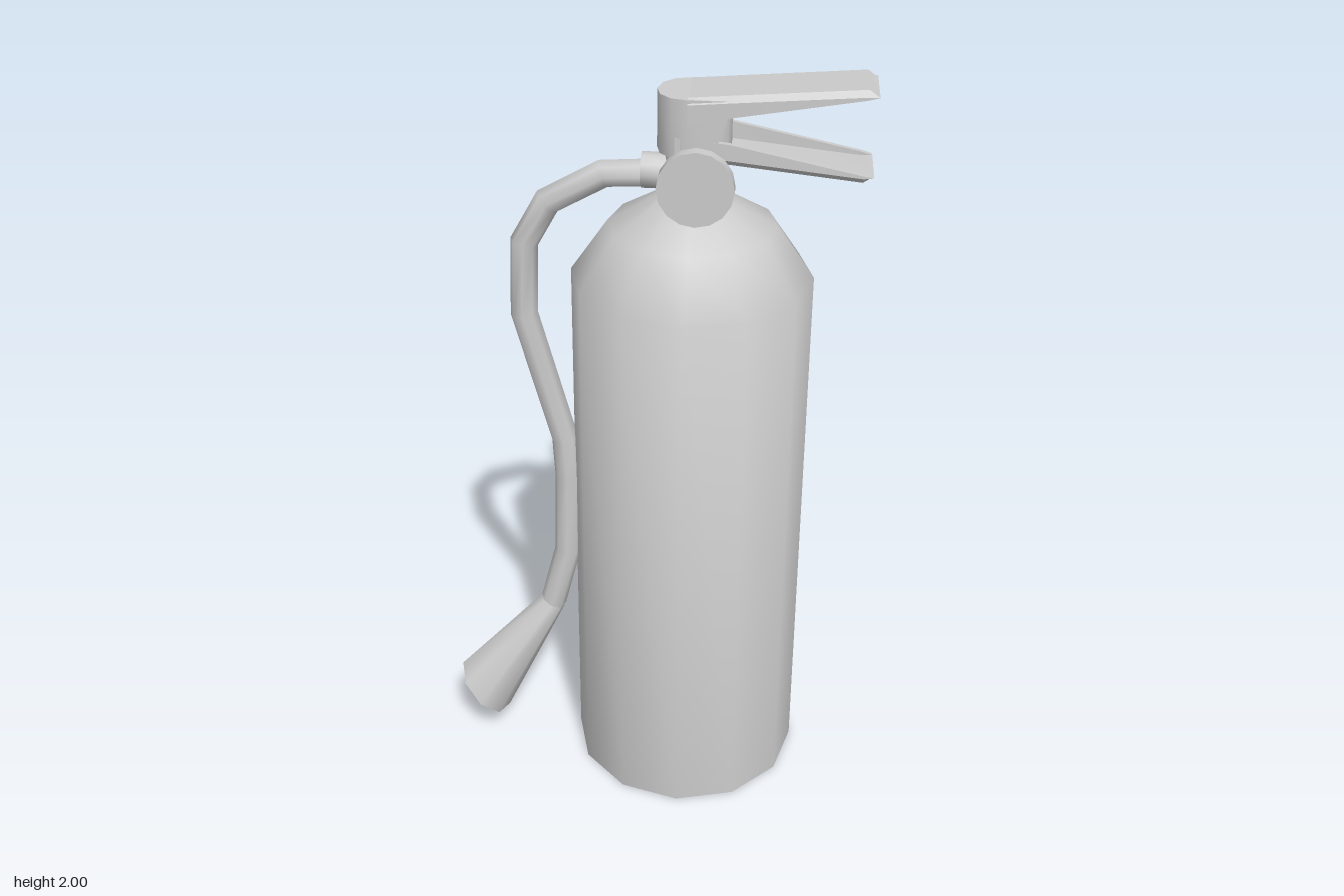
import * as THREE from 'three';
import { toCreasedNormals } from 'three/addons/utils/BufferGeometryUtils.js';

const grey = new THREE.MeshStandardMaterial({ color: 0xcccccc });
const greyOpen = new THREE.MeshStandardMaterial({ color: 0xcccccc, side: THREE.DoubleSide });

function part(name, geometry, crease = 0.7, material = grey) {
  const mesh = new THREE.Mesh(toCreasedNormals(geometry, crease), material);
  mesh.name = name;
  return mesh;
}

// Skin a list of equal-length closed rings of [x, y, z] points
function loft(rings) {
  const n = rings[0].length, index = [];
  for (let i = 0; i < rings.length - 1; i++) {
    for (let j = 0; j < n; j++) {
      const a = i * n + j, b = i * n + (j + 1) % n;
      index.push(a, b, b + n, a, b + n, a + n);
    }
  }
  const g = new THREE.BufferGeometry();
  g.setAttribute('position', new THREE.Float32BufferAttribute(rings.flat(2), 3));
  g.setIndex(index);
  g.computeVertexNormals();
  return g;
}

// Round ring square to a direction in the xy plane
function ring(x, y, z, tx, ty, r, sides = 8) {
  const l = Math.hypot(tx, ty);
  return Array.from({ length: sides }, (_, j) => {
    const a = (j / sides) * Math.PI * 2, c = Math.cos(a) * r;
    return [x - (ty / l) * c, y + (tx / l) * c, z + Math.sin(a) * r];
  });
}

// Channel-shaped lever; stations are [x, plate y, flange edge y, half width]
function lever(name, stations) {
  const rings = stations.map(([x, plate, edge, w]) => {
    const d = edge - plate, s = Math.sign(d) || 1, h = Math.abs(d);
    const chamfer = plate + s * Math.min(0.014, h);
    const inner = plate + s * Math.min(0.012, h);
    const i = w - 0.014;
    return [
      [x, edge, -w], [x, chamfer, -w], [x, plate, -i], [x, plate, i], [x, chamfer, w],
      [x, edge, w], [x, edge, i], [x, inner, i], [x, inner, -i], [x, edge, -i],
    ];
  });
  if (stations[0][2] > stations[0][1]) rings.forEach((r) => r.reverse());
  return part(name, loft(rings), 0.5);
}

function cylinder(name, r, length, sides, x, y, z, axis) {
  const g = new THREE.CylinderGeometry(r, r, length, sides);
  if (axis === 'z') g.rotateX(Math.PI / 2);
  if (axis === 'x') g.rotateZ(Math.PI / 2);
  g.translate(x, y, z);
  return part(name, g);
}

export function createModel() {
  const group = new THREE.Group();
  const cx = 0.11;

  // Tank with shoulder and neck
  const profile = [[0, 0], [0.313, 0], [0.306, 1.49], [0.212, 1.625], [0.07, 1.71], [0.07, 1.83]];
  const tank = new THREE.LatheGeometry(profile.map(([r, y]) => new THREE.Vector2(r, y)), 12);
  tank.translate(cx, 0, 0);
  group.add(part('tank', tank, 0.9));

  // Valve head: rounded at the back, slanted towards the levers
  const half = [[0.165, 0.086], [0.1, 0.086], [0.06, 0.074], [0.032, 0.044]];
  const plan = [...half, [0.022, 0], ...half.map(([x, z]) => [x, -z]).reverse()];
  const head = new THREE.ExtrudeGeometry(
    new THREE.Shape(plan.map(([x, z]) => new THREE.Vector2(x, z))),
    { depth: 0.145, bevelEnabled: false });
  head.rotateX(-Math.PI / 2).translate(0, 1.82, 0);
  const p = head.attributes.position;
  for (let i = 0; i < p.count; i++) {
    if (p.getX(i) > 0.15) p.setX(i, p.getX(i) + (p.getY(i) - 1.84) * 0.35);
  }
  group.add(part('valveHead', head, 0.7));
  group.add(cylinder('valvePost', 0.06, 0.13, 12, 0.142, 1.885, 0));

  // Levers
  group.add(lever('upperLever', [
    [0.1, 1.968, 1.9, 0.089], [0.2, 1.976, 1.926, 0.089],
    [0.515, 2.0, 1.979, 0.089], [0.54, 1.984, 1.984, 0.084],
  ]));
  group.add(lever('lowerLever', [
    [0.07, 1.815, 1.87, 0.08], [0.2, 1.808, 1.862, 0.089],
    [0.515, 1.775, 1.796, 0.089], [0.54, 1.79, 1.79, 0.084],
  ]));

  // Pressure gauge on the front
  group.add(cylinder('gaugeStem', 0.038, 0.13, 8, 0.125, 1.775, 0.065, 'z'));
  group.add(cylinder('gauge', 0.093, 0.033, 16, 0.125, 1.772, 0.139, 'z'));

  // Hose with its collar
  group.add(cylinder('hoseCollar', 0.044, 0.075, 10, 0.022, 1.76, 0, 'x'));
  const path = [
    [0.03, 1.755], [-0.11, 1.747], [-0.25, 1.67], [-0.312, 1.56], [-0.32, 1.36],
    [-0.224, 0.99], [-0.218, 0.87], [-0.225, 0.63], [-0.272, 0.445],
  ];
  const hose = path.map(([x, y], i) => {
    const a = path[Math.max(i - 1, 0)], b = path[Math.min(i + 1, path.length - 1)];
    return ring(x, y, 0.002, b[0] - a[0], b[1] - a[1], 0.036);
  });
  group.add(part('hose', loft(hose), 1.0));

  // Flared open nozzle
  const nozzle = loft([
    ring(-0.272, 0.445, 0.002, -0.5, -0.86, 0.036),
    ring(-0.478, 0.142, 0.032, -0.73, -0.68, 0.098),
  ]);
  group.add(part('nozzle', nozzle, 1.0, greyOpen));

  return group;
}
